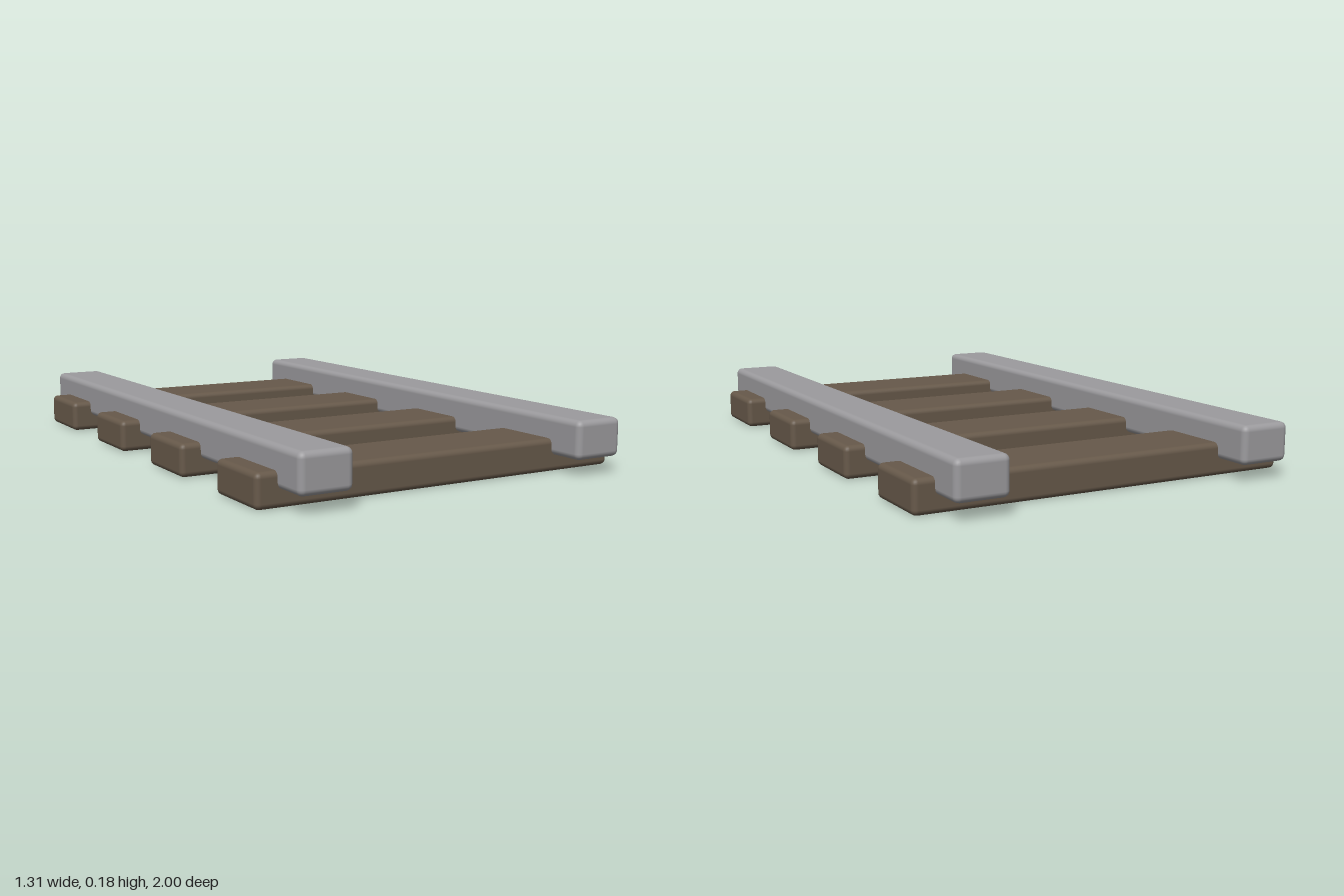
import * as THREE from 'three';
import { RoundedBoxGeometry } from 'three/addons/geometries/RoundedBoxGeometry.js';

export function createModel() {
  const group = new THREE.Group();
  group.name = 'railwayTrack';

  const steel = new THREE.MeshStandardMaterial({ color: 0x9c9b9e });
  steel.name = 'steel grey';
  const wood = new THREE.MeshStandardMaterial({ color: 0x67594a });
  wood.name = 'sleeper brown';

  const add = (name, geometry, material, x, y, z) => {
    const mesh = new THREE.Mesh(geometry, material);
    mesh.name = name;
    mesh.position.set(x, y, z);
    group.add(mesh);
  };

  // Four wooden sleepers, evenly spaced along the track
  const sleeperGeometry = new RoundedBoxGeometry(1.314, 0.108, 0.254, 3, 0.018);
  for (let i = 0; i < 4; i++) {
    add(`sleeper${i + 1}`, sleeperGeometry, wood, 0, 0.054, -0.75 + i * 0.5);
  }

  // Two rails sunk halfway into the sleepers
  const railGeometry = new RoundedBoxGeometry(0.176, 0.126, 2, 3, 0.02);
  add('leftRail', railGeometry, steel, 0.5, 0.118, 0);
  add('rightRail', railGeometry, steel, -0.5, 0.118, 0);

  return group;
}
